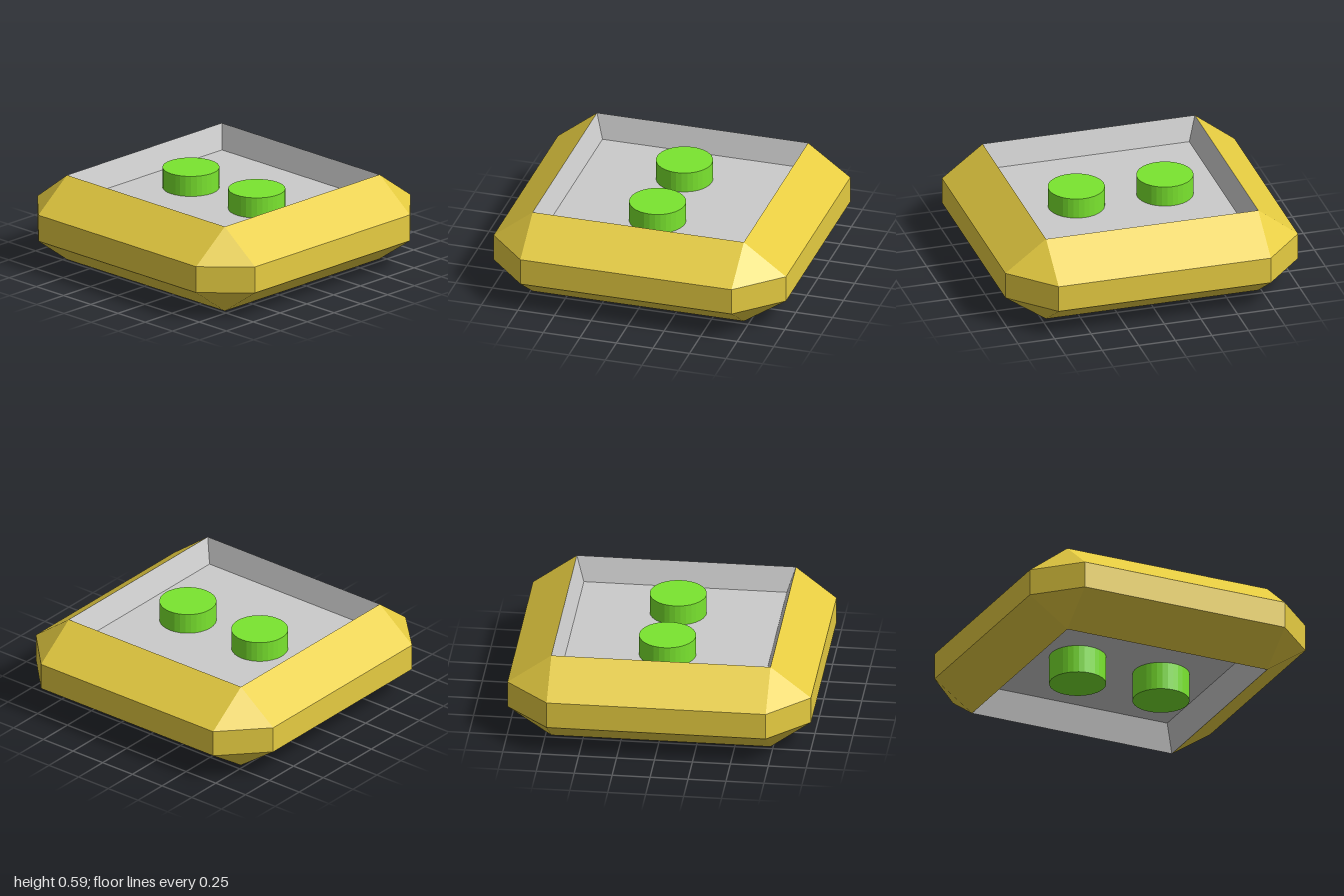
import * as THREE from 'three';

const material = (color) => new THREE.MeshStandardMaterial({ color, flatShading: true });

// Eight-point ring, counter-clockwise from above; side = 1 cuts the corners,
// side = 0 makes a rectangle (corner points doubled). Bounds: [x0, x1, z0, z1].
function ring(y, [x0, x1, z0, z1], side = 0) {
  const X = (x) => (side ? Math.sign(x) : x);
  const points = [];
  for (const [x, z, xFirst] of [[x1, z1, false], [x1, z0, true], [x0, z0, false], [x0, z1, true]]) {
    const a = new THREE.Vector3(x, y, X(z));
    const b = new THREE.Vector3(X(x), y, z);
    points.push(...(xFirst ? [b, a] : [a, b]));
  }
  return points;
}

// Flat-shaded skin through rings, optionally closed at both ends
function skin(rings, closed = false) {
  const positions = [];
  const tri = (a, b, c) => {
    if (new THREE.Triangle(a, b, c).getArea() < 1e-8) return;
    for (const p of [a, b, c]) positions.push(p.x, p.y, p.z);
  };
  for (let r = 0; r + 1 < rings.length; r++) {
    const a = rings[r], b = rings[r + 1];
    for (let i = 0; i < 8; i++) {
      const j = (i + 1) % 8;
      tri(a[i], b[i], b[j]);
      tri(a[i], b[j], a[j]);
    }
  }
  if (closed) {
    const first = rings[0], last = rings[rings.length - 1];
    for (let i = 1; i < 7; i++) {
      tri(first[0], first[i], first[i + 1]);
      tri(last[0], last[i + 1], last[i]);
    }
  }
  const geometry = new THREE.BufferGeometry();
  geometry.setAttribute('position', new THREE.Float32BufferAttribute(positions, 3));
  geometry.computeVertexNormals();
  return geometry;
}

export function createModel() {
  const group = new THREE.Group();
  const add = (name, geometry, mat) => {
    const mesh = new THREE.Mesh(geometry, mat);
    mesh.name = name;
    group.add(mesh);
    return mesh;
  };
  const rim = [-0.733, 0.711, -0.728, 0.722];
  const floor = [-0.679, 0.658, -0.674, 0.663];
  const [bottom, top, floorLow, floorHigh] = [0.003, 0.588, 0.19, 0.428];

  // Bevelled outer frame with cut corners
  add('frame', skin([
    ring(top, rim), ring(0.377, rim, 1), ring(0.197, rim, 1), ring(bottom, rim),
  ]), material(0xe6cc41));

  // Recessed trays above and below, with sloping walls
  const grey = material(0xcccccc);
  const tray = (name, rings, up) => {
    const geometry = skin(rings);
    add(name + 'Walls', geometry, grey);
    const [x0, x1, z0, z1] = floor;
    const panel = new THREE.PlaneGeometry(x1 - x0, z1 - z0).rotateX(up ? -Math.PI / 2 : Math.PI / 2);
    add(name + 'Floor', panel, grey).position.set((x0 + x1) / 2, up ? floorHigh : floorLow, (z0 + z1) / 2);
  };
  tray('upperTray', [ring(floorHigh, floor), ring(top, rim)], true);
  tray('lowerTray', [ring(bottom, rim), ring(floorLow, floor)], false);

  // Two round pegs running through the centre panel
  const green = material(0x7ae52f);
  const pegHeight = 0.567;
  for (const [name, z] of [['backPeg', -0.305], ['frontPeg', 0.3]]) {
    add(name, new THREE.CylinderGeometry(0.187, 0.187, pegHeight, 32), green)
      .position.set(-0.006, pegHeight / 2, z);
  }
  return group;
}
